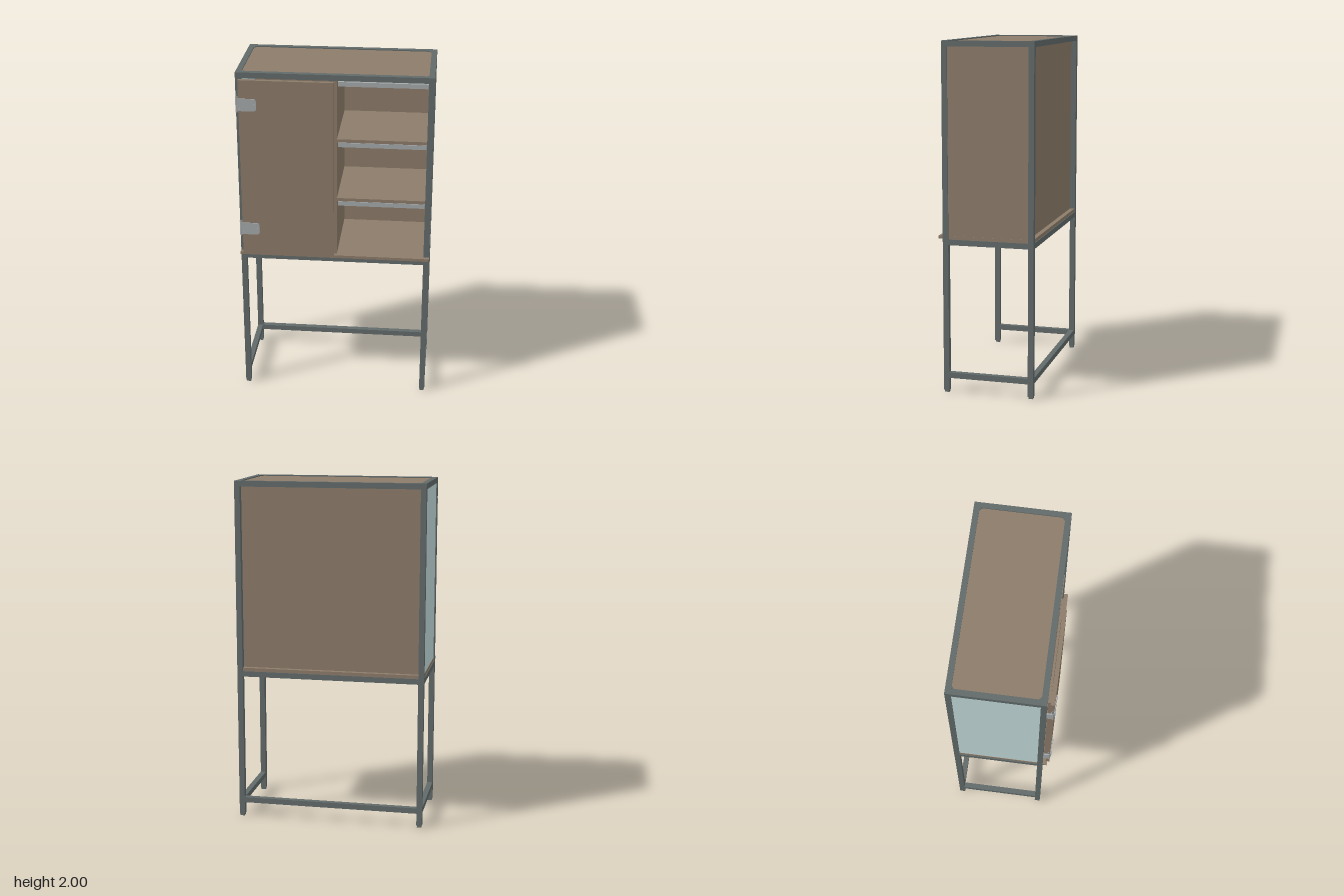
import * as THREE from 'three';

const mat = (name, color, extra = {}) => {
  const m = new THREE.MeshStandardMaterial({ color, ...extra });
  m.name = name;
  return m;
};

export function createModel() {
  const root = new THREE.Group();
  root.name = 'cabinetOnStand';
  const steel = mat('steelGrey', 0x626b6a);
  const wood = mat('brownWood', 0x8d7c6a);
  const glass = mat('paleBlueGlass', 0xc4dcdc);
  const metal = mat('lightMetal', 0xa6aaac);

  const add = (name, geo, material, parent = root) => {
    const mesh = new THREE.Mesh(geo, material);
    mesh.name = name;
    parent.add(mesh);
    return mesh;
  };
  // Box given by its limits on each axis
  const box = (name, material, x0, x1, y0, y1, z0, z1, parent = root) => {
    const mesh = add(name, new THREE.BoxGeometry(x1 - x0, y1 - y0, z1 - z0), material, parent);
    mesh.position.set((x0 + x1) / 2, (y0 + y1) / 2, (z0 + z1) / 2);
    return mesh;
  };

  const W = 0.55, T = 0.032, F = 0.24, B = -0.287;
  const xi = W - T, fi = F - T, bi = B + T;

  // Square-tube frame: posts with small foot plugs
  const frame = new THREE.Group();
  frame.name = 'frame';
  root.add(frame);
  for (const s of [-1, 1]) {
    for (const z of [fi, B]) {
      const x0 = s > 0 ? xi : -W;
      box('post', steel, x0, x0 + T, 0.012, 2, z, z + T, frame);
      box('foot', steel, x0 + 0.003, x0 + T - 0.003, 0, 0.012, z + 0.003, z + T - 0.003, frame);
    }
  }
  // Rails: full rings at the top and under the cabinet, three sides near the floor
  for (const [y, front] of [[1.968, true], [0.86, true], [0.085, false]]) {
    for (const s of [-1, 1]) {
      const x0 = s > 0 ? xi : -W;
      box('sideRail', steel, x0, x0 + T, y, y + T, bi, fi, frame);
    }
    box('backRail', steel, -xi, xi, y, y + T, B, bi, frame);
    if (front) box('frontRail', steel, -xi, xi, y, y + T, fi, F, frame);
  }
  // Corner gussets in the top ring
  const tri = new THREE.Shape([[0, 0], [0.016, 0], [0, 0.016]].map(p => new THREE.Vector2(...p)));
  const gussetGeo = new THREE.ExtrudeGeometry(tri, { depth: 0.006, bevelEnabled: false });
  gussetGeo.rotateX(-Math.PI / 2);
  [[-xi, fi, 0], [xi, fi, 1], [xi, bi, 2], [-xi, bi, 3]].forEach(([x, z, k]) => {
    const g = add('cornerGusset', gussetGeo, steel, frame);
    g.position.set(x, 1.992, z);
    g.rotation.y = k * Math.PI / 2;
  });

  // Cabinet boards
  box('baseBoard', wood, -0.546, 0.546, 0.892, 0.912, B + 0.004, F);
  box('baseLip', wood, -W, W, 0.895, 0.912, F, 0.265);
  box('topPanel', wood, -xi, xi, 1.972, 1.994, bi, fi);
  box('backPanel', wood, -0.522, 0.522, 0.912, 1.972, bi, bi + 0.018);
  box('leftPanel', wood, 0.522, 0.544, 0.892, 1.968, bi, fi);
  box('rightGlassPanel', glass, -0.544, -0.524, 0.912, 1.968, bi, fi);
  box('divider', wood, -0.004, 0.014, 0.912, 1.968, bi + 0.018, F);

  // Shelves, each with a metal strip under its front edge
  for (const y of [1.972, 1.625, 1.265]) {
    const top = y > 1.9;
    if (!top) box('shelf', wood, 0.014, 0.522, y - 0.019, y, bi + 0.018, 0.235);
    const s = top ? 1.963 : y - 0.019;
    box('shelfStrip', metal, 0.02, 0.516, s - 0.028, s - 0.002, 0.21, 0.235);
  }

  // Door with battens behind
  const door = new THREE.Group();
  door.name = 'door';
  root.add(door);
  box('doorPanel', wood, -0.53, 0, 0.915, 1.968, 0.256, 0.278, door);
  box('doorStile', wood, -0.515, -0.452, 0.93, 1.955, 0.242, 0.256, door);
  box('doorStile', wood, -0.055, -0.012, 0.93, 1.955, 0.242, 0.256, door);
  for (const y of [0.93, 1.895]) box('doorRail', wood, -0.452, -0.055, y, y + 0.06, 0.242, 0.254, door);

  // Hinges: rounded leaf, side leaf, pin and bolts
  const leaf = new THREE.Shape();
  leaf.moveTo(-0.535, -0.036);
  leaf.lineTo(-0.445, -0.036);
  leaf.quadraticCurveTo(-0.43, -0.034, -0.43, -0.018);
  leaf.lineTo(-0.43, 0.018);
  leaf.quadraticCurveTo(-0.43, 0.034, -0.445, 0.036);
  leaf.lineTo(-0.535, 0.036);
  const leafGeo = new THREE.ExtrudeGeometry(leaf, { depth: 0.005, bevelEnabled: false, curveSegments: 5 });
  const pinGeo = new THREE.CylinderGeometry(0.008, 0.008, 0.092, 14);
  const capGeo = new THREE.CylinderGeometry(0.005, 0.005, 0.108, 12);
  const boltGeo = new THREE.CylinderGeometry(0.006, 0.006, 0.005, 12);
  boltGeo.rotateX(Math.PI / 2);
  for (const y of [1.826, 1.07]) {
    const hinge = new THREE.Group();
    hinge.name = 'hinge';
    hinge.position.y = y;
    root.add(hinge);
    add('hingeLeaf', leafGeo, metal, hinge).position.z = 0.278;
    add('hingePin', pinGeo, metal, hinge).position.set(-0.539, 0, 0.272);
    add('hingePinEnds', capGeo, steel, hinge).position.set(-0.539, 0, 0.272);
    box('hingeSideLeaf', metal, -0.547, -0.54, -0.036, 0.036, 0.24, 0.27, hinge);
    for (const [x, dy] of [[-0.522, 0.024], [-0.522, -0.024], [-0.442, 0]]) {
      add('hingeBolt', boltGeo, metal, hinge).position.set(x, dy, 0.2845);
    }
  }
  return root;
}
